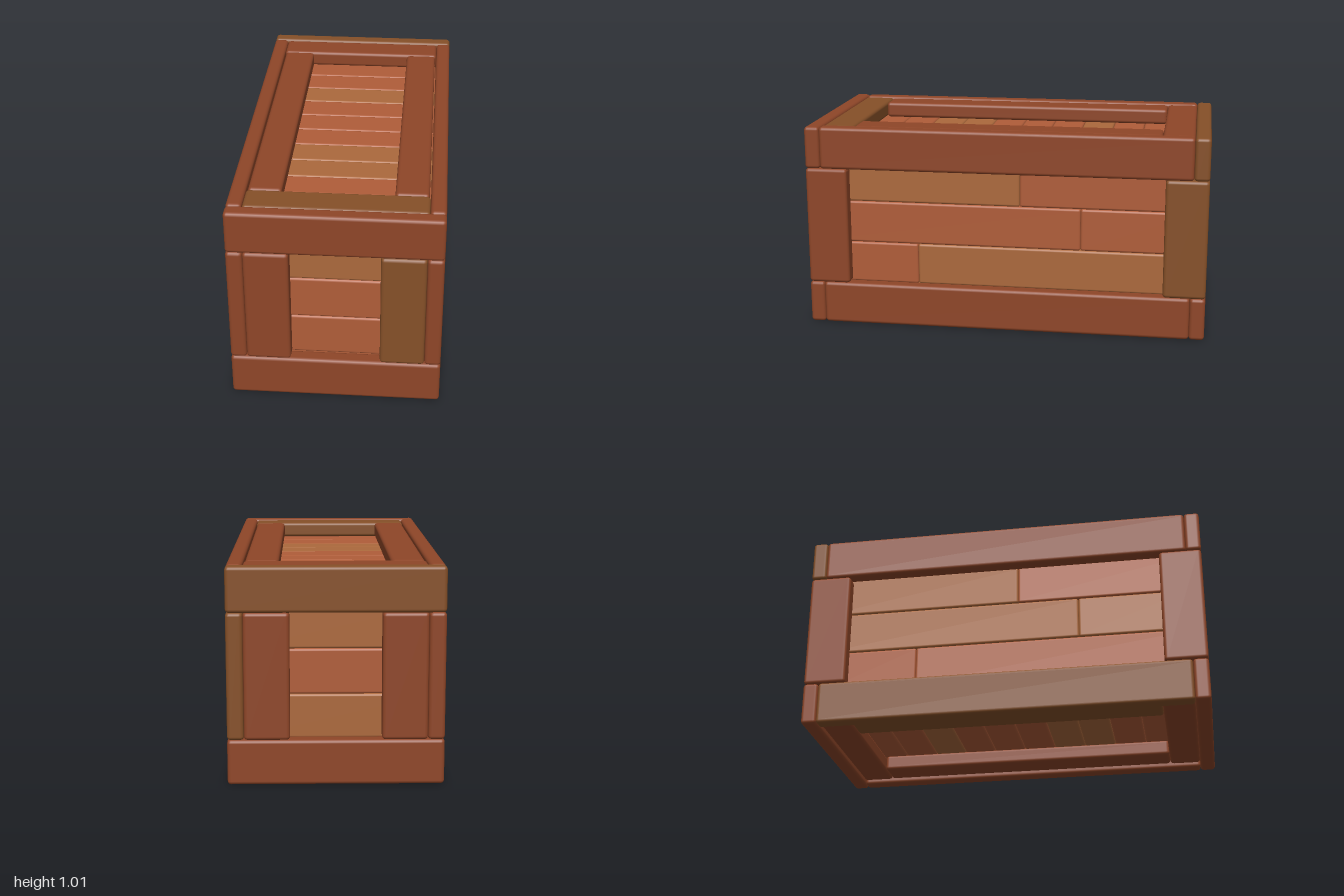
import * as THREE from 'three';
import { RoundedBoxGeometry } from 'three/addons/geometries/RoundedBoxGeometry.js';

const RED = 0x8f4628, BROWN = 0x865028, PLANK = 0xb05d39, TAN = 0xac693c;
const materials = {};
const wood = (color) => (materials[color] ??= new THREE.MeshStandardMaterial({ color }));

// Board with softened edges, given by its minimum and maximum corners
function board(parent, name, color, [x0, x1], [y0, y1], [z0, z1], radius = 0.017) {
  const geometry = new RoundedBoxGeometry(x1 - x0, y1 - y0, z1 - z0, 2, radius);
  const mesh = new THREE.Mesh(geometry, wood(color));
  mesh.position.set((x0 + x1) / 2, (y0 + y1) / 2, (z0 + z1) / 2);
  mesh.name = name;
  parent.add(mesh);
}

// Range on the positive or negative side of an axis
const side = (s, a, b) => (s > 0 ? [a, b] : [-b, -a]);

export function createModel() {
  const crate = new THREE.Group();
  crate.name = 'crate';
  const low = [0, 0.213], high = [0.804, 1.015], middle = [0.212, 0.805];
  const rows = [[0.2, 0.41], [0.41, 0.624], [0.624, 0.825]];

  // Outer rails around the top and bottom
  const rails = new THREE.Group();
  rails.name = 'rails';
  for (const s of [1, -1]) {
    board(rails, 'endRailBottom', RED, [-0.5, 0.5], low, side(s, 0.924, 1));
    board(rails, 'endRailTop', s < 0 ? BROWN : RED, [-0.5, 0.5], high, side(s, 0.924, 1));
    board(rails, 'sideRailBottom', s < 0 ? BROWN : RED, side(s, 0.426, 0.5), low, [-0.924, 0.924]);
    board(rails, 'sideRailTop', RED, side(s, 0.426, 0.5), high, [-0.924, 0.924]);
  }

  // Upright boards: corner posts and the posts beside them on each end
  const posts = new THREE.Group();
  posts.name = 'posts';
  for (const sx of [1, -1]) {
    for (const sz of [1, -1]) {
      board(posts, 'cornerPost', sx > 0 && sz < 0 ? BROWN : RED, side(sx, 0.422, 0.5), middle, side(sz, 0.79, 1));
      board(posts, 'endPost', sx > 0 && sz > 0 ? BROWN : RED, side(sx, 0.211, 0.422), middle, side(sz, 0.92, 1));
    }
  }

  // Recessed planks on both ends
  const panels = new THREE.Group();
  panels.name = 'panels';
  const endColors = { 1: [PLANK, PLANK, TAN], '-1': [TAN, PLANK, TAN] };
  for (const s of [1, -1]) {
    rows.forEach((row, i) =>
      board(panels, 'endPlank', endColors[s][i], [-0.41, 0.41], row, side(s, 0.845, 0.918), 0.012));
  }

  // Recessed planks on both long sides, split at a different place in each row
  const splits = [0.45, -0.375, -0.07];
  const sideColors = {
    1: [[PLANK, TAN], [PLANK, PLANK], [TAN, PLANK]],
    '-1': [[PLANK, PLANK], [TAN, TAN], [TAN, PLANK]],
  };
  for (const s of [1, -1]) {
    rows.forEach((row, i) => {
      const x = side(s, 0.345, 0.416);
      board(panels, 'sidePlank', sideColors[s][i][0], x, row, side(s, splits[i], 0.915), 0.012);
      board(panels, 'sidePlank', sideColors[s][i][1], x, row, side(s, -0.915, splits[i]), 0.012);
    });
  }

  // Lid and base: an inner frame with recessed cross slats
  const slatColors = [PLANK, PLANK, TAN, PLANK, PLANK, PLANK, TAN, TAN, PLANK, PLANK];
  const pitch = 0.162;
  for (const top of [true, false]) {
    const group = new THREE.Group();
    group.name = top ? 'lid' : 'base';
    const frameY = top ? [0.93, 1.01] : [0.02, 0.1];
    const slatY = top ? [0.855, 0.927] : [0.095, 0.167];
    for (const s of [1, -1]) {
      board(group, 'frameEnd', top && s > 0 ? BROWN : RED, [-0.426, 0.426], frameY, side(s, 0.767, 0.924));
      board(group, 'frameSide', !top && s < 0 ? BROWN : RED, side(s, 0.262, 0.42), frameY, [-0.767, 0.767]);
    }
    slatColors.forEach((color, i) => {
      const z = (i - 5) * pitch;
      board(group, 'slat', color, [-0.428, 0.428], slatY, [z, z + pitch], 0.012);
    });
    crate.add(group);
  }

  crate.add(rails, posts, panels);
  return crate;
}
